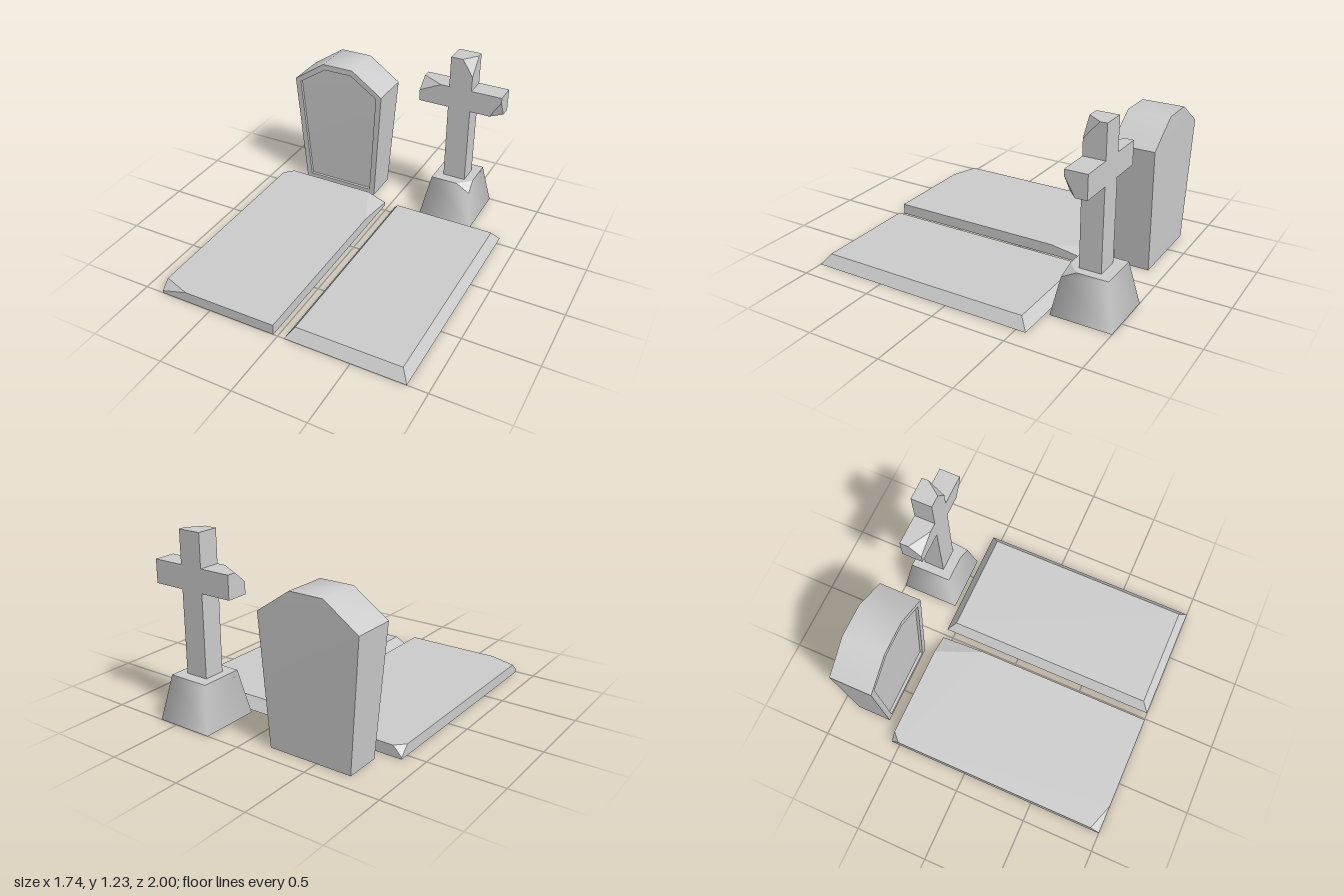
import * as THREE from 'three';
import { toCreasedNormals } from 'three/addons/utils/BufferGeometryUtils.js';
import { ConvexGeometry } from 'three/addons/geometries/ConvexGeometry.js';

const stone = new THREE.MeshStandardMaterial({ color: 0xcccccc });

function part(name, geometry) {
  const mesh = new THREE.Mesh(geometry, stone);
  mesh.name = name;
  return mesh;
}

// Block with a bottom and a top rectangle, each [x0, x1, z0, z1] at y0 and y1.
// chips: corner key 'ixiyiz' (0 = min, 1 = max) -> points replacing that corner.
function block(y0, y1, bottom, top, chips = {}) {
  const points = [];
  for (const iy of [0, 1]) for (const ix of [0, 1]) for (const iz of [0, 1]) {
    const r = iy ? top : bottom;
    const corner = [[r[ix], iy ? y1 : y0, r[2 + iz]]];
    for (const p of chips[`${ix}${iy}${iz}`] || corner) points.push(new THREE.Vector3(...p));
  }
  return new ConvexGeometry(points);
}

// Softens the shading around the sloping sides while top and bottom stay crisp.
function smoothSides(geometry, cx, cz) {
  const pos = geometry.attributes.position, nor = geometry.attributes.normal;
  for (let i = 0; i < pos.count; i++) {
    if (Math.abs(nor.getY(i)) > 0.4) continue;
    const n = new THREE.Vector3(pos.getX(i) - cx, 0, pos.getZ(i) - cz).normalize();
    n.y = 0.17;
    n.normalize();
    nor.setXYZ(i, n.x, n.y, n.z);
  }
  return geometry;
}

// Six-sided tapered headstone with a recessed front panel
function headstoneGeometry() {
  const outer = [[-0.738, 0], [-0.165, 0], [-0.105, 0.85], [-0.335, 1.01], [-0.565, 1.01], [-0.797, 0.85]];
  const inner = [[-0.70, 0.04], [-0.203, 0.04], [-0.147, 0.833], [-0.347, 0.968], [-0.553, 0.968], [-0.755, 0.833]];
  const rise = y => Math.min(y / 0.85, 1);
  const front = y => -0.645 + 0.031 * rise(y);
  const back = y => -0.885 - 0.018 * rise(y);
  const ring = (pts, z) => pts.map(([x, y]) => [x, y, z(y)]);
  const rings = [ring(outer, back), ring(outer, front), ring(inner, front), ring(inner, y => front(y) - 0.02)];
  const v = [];
  const quad = (a, b, c, d) => v.push(...a, ...b, ...c, ...a, ...c, ...d);
  for (let k = 0; k < 3; k++) for (let i = 0; i < 6; i++) {
    const j = (i + 1) % 6;
    quad(rings[k][i], rings[k][j], rings[k + 1][j], rings[k + 1][i]);
  }
  const [b, , , p] = rings;
  quad(p[0], p[1], p[2], p[5]);
  quad(p[5], p[2], p[3], p[4]);
  quad(b[5], b[2], b[1], b[0]);
  quad(b[4], b[3], b[2], b[5]);
  const g = new THREE.BufferGeometry();
  g.setAttribute('position', new THREE.Float32BufferAttribute(v, 3));
  return toCreasedNormals(g, 0.75);
}

export function createModel() {
  const model = new THREE.Group();
  model.name = 'graves';

  // Grave with the headstone: slab with three broken corners
  const flat = [-0.87, -0.03, -0.56, 1];
  const leftGrave = new THREE.Group();
  leftGrave.name = 'headstoneGrave';
  leftGrave.add(
    part('chippedSlab', block(0, 0.075, flat, flat, {
      '011': [[-0.68, 0.075, 1], [-0.87, 0.075, 0.935], [-0.87, 0.018, 1]],
      '010': [[-0.81, 0.075, -0.56], [-0.87, 0.075, -0.50], [-0.87, 0.012, -0.56]],
      '110': [[-0.17, 0.075, -0.56], [-0.03, 0.075, -0.24], [-0.03, 0.025, -0.56]],
    })),
    part('headstone', headstoneGeometry()),
  );

  // Grave with the cross: bevelled slab and tapered plinth
  const rightGrave = new THREE.Group();
  rightGrave.name = 'crossGrave';
  const plinth = block(0, 0.3, [0.236, 0.63, -1, -0.592], [0.295, 0.574, -0.94, -0.648], {
    '111': [[0.485, 0.3, -0.648], [0.574, 0.3, -0.735], [0.584, 0.25, -0.639]],
  });
  rightGrave.add(
    part('bevelledSlab', block(0, 0.07, [0.045, 0.865, -0.565, 1], [0.095, 0.815, -0.51, 0.945])),
    part('plinth', smoothSides(plinth, 0.434, -0.795)),
  );

  // Cross post and arms with broken corners; each arm is separate
  const zb = -0.865, zf = -0.72;
  const post = [0.355, 0.515, zb, zf], rightArm = [0.14, 0.355, zb, zf], leftArm = [0.515, 0.73, zb, zf];
  const cross = new THREE.Group();
  cross.name = 'cross';
  cross.add(
    part('post', block(0.28, 1.225, post, post, {
      '111': [[0.44, 1.225, zf], [0.515, 1.225, -0.82], [0.515, 1.11, zf]],
    })),
    part('rightArm', block(0.85, 1.005, rightArm, rightArm, {
      '011': [[0.295, 1.005, zf], [0.14, 1.005, -0.805], [0.14, 0.93, zf]],
    })),
    part('leftArm', block(0.85, 1.005, leftArm, leftArm, {
      '101': [[0.655, 0.85, zf], [0.73, 0.85, -0.79], [0.73, 0.968, zf]],
    })),
  );
  rightGrave.add(cross);

  model.add(leftGrave, rightGrave);
  return model;
}
